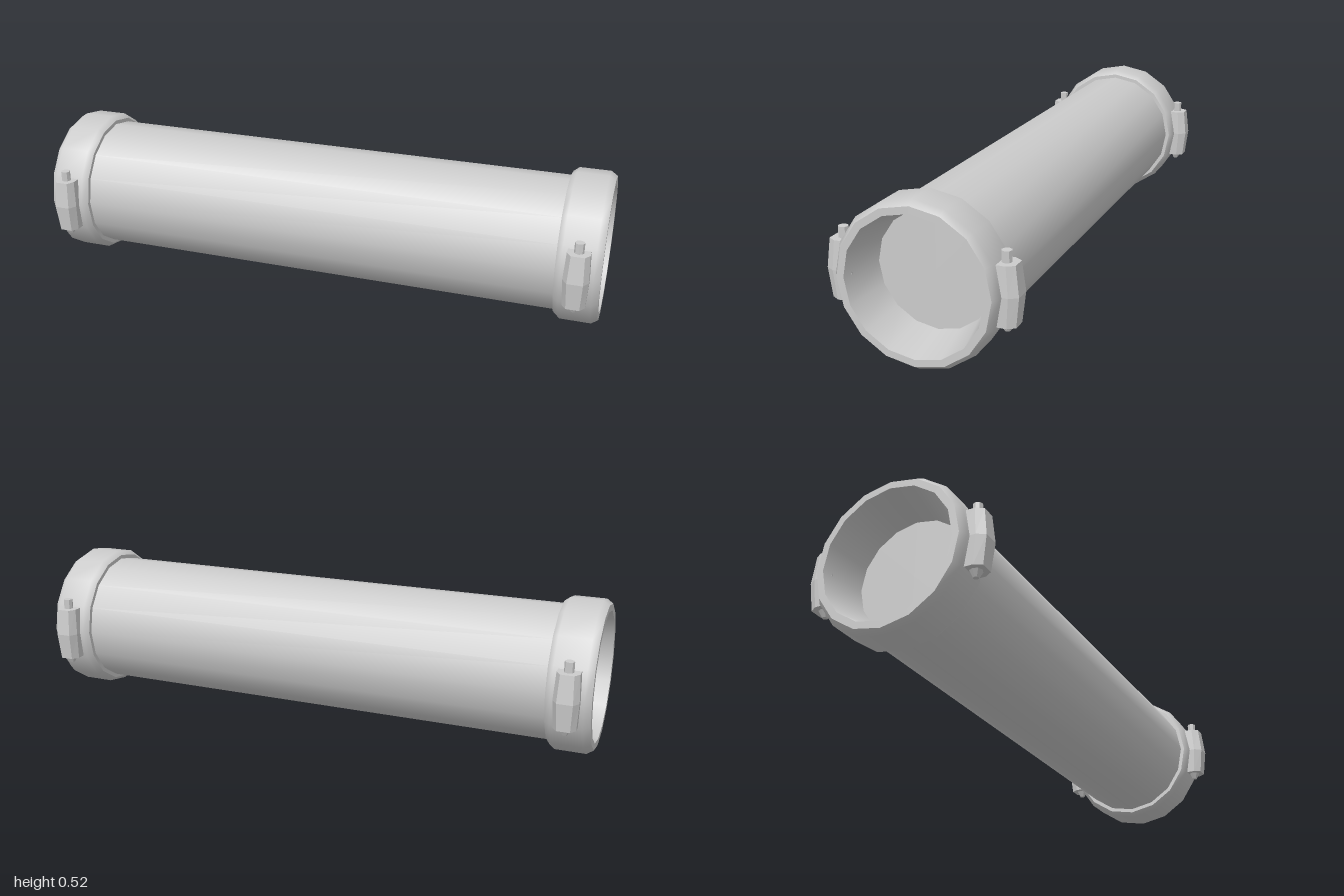
import * as THREE from 'three';

const SIDES = 16;
const CENTER_Y = 0.261;
const material = new THREE.MeshStandardMaterial({ color: 0xcccccc });
const flatMaterial = new THREE.MeshStandardMaterial({ color: 0xcccccc, flatShading: true });

function addMesh(parent, name, geometry, mat = material) {
  const mesh = new THREE.Mesh(geometry, mat);
  mesh.name = name;
  parent.add(mesh);
  return mesh;
}

// Revolves [radius, x] points around the x axis
function turned(points) {
  const profile = points.map(([r, x]) => new THREE.Vector2(r, x));
  return new THREE.LatheGeometry(profile, SIDES).rotateZ(-Math.PI / 2);
}

// Clamp body: a chamfered section lofted over three heights, widest in the middle
function clampBody() {
  const levels = [
    // y, half width, shoulder z, half width of outer face, outer z
    [-0.094, 0.037, 0.272, 0.022, 0.296],
    [0.001, 0.042, 0.28, 0.026, 0.307],
    [0.094, 0.037, 0.272, 0.022, 0.296],
  ];
  const positions = [];
  const indices = [];
  for (const [y, w, shoulder, tip, outer] of levels) {
    positions.push(w, y, 0.215, w, y, shoulder, tip, y, outer,
      -tip, y, outer, -w, y, shoulder, -w, y, 0.215);
  }
  for (let level = 0; level < 2; level++) {
    for (let i = 0; i < 6; i++) {
      const a = level * 6 + i;
      const b = level * 6 + (i + 1) % 6;
      indices.push(a, a + 6, b, b, a + 6, b + 6);
    }
  }
  for (let i = 1; i < 5; i++) {
    indices.push(0, i, i + 1, 12, 12 + i + 1, 12 + i);
  }
  const geometry = new THREE.BufferGeometry();
  geometry.setAttribute('position', new THREE.Float32BufferAttribute(positions, 3));
  geometry.setIndex(indices);
  geometry.computeVertexNormals();
  return geometry;
}

function makeClamp() {
  const clamp = new THREE.Group();
  clamp.name = 'clamp';
  addMesh(clamp, 'clampBody', clampBody(), flatMaterial);
  // Bolt end above, domed head below
  addMesh(clamp, 'boltEnd', new THREE.CylinderGeometry(0.016, 0.016, 0.05, 8), flatMaterial)
    .position.set(0, 0.104, 0.261);
  addMesh(clamp, 'boltHead', new THREE.CylinderGeometry(0.021, 0.009, 0.022, 8), flatMaterial)
    .position.set(0, -0.105, 0.261);
  return clamp;
}

function makeEnd() {
  const end = new THREE.Group();
  end.name = 'endCollar';
  addMesh(end, 'collarBand', turned([[0.246, 0.853], [0.261, 0.872], [0.261, 0.978], [0.246, 1]]));
  addMesh(end, 'collarFace', turned([[0.246, 1], [0.223, 1]]));
  addMesh(end, 'collarBack', turned([[0.22, 0.853], [0.246, 0.853]]));
  addMesh(end, 'socketWall', turned([[0.223, 1], [0.192, 0.85]]));
  addMesh(end, 'endPlate', turned([[0.192, 0.85], [0, 0.85]]));
  // One clamp on each side of the collar
  for (const turn of [0, Math.PI]) {
    const clamp = makeClamp();
    clamp.position.x = 0.925;
    clamp.rotation.y = turn;
    end.add(clamp);
  }
  return end;
}

export function createModel() {
  const model = new THREE.Group();
  model.name = 'pipeSection';
  const body = new THREE.Group();
  body.name = 'pipe';
  body.position.y = CENTER_Y;
  model.add(body);

  addMesh(body, 'tube', turned([[0.232, -0.87], [0.232, 0.87]]));

  for (const turn of [0, Math.PI]) {
    const end = makeEnd();
    end.rotation.y = turn;
    body.add(end);
  }
  return model;
}
